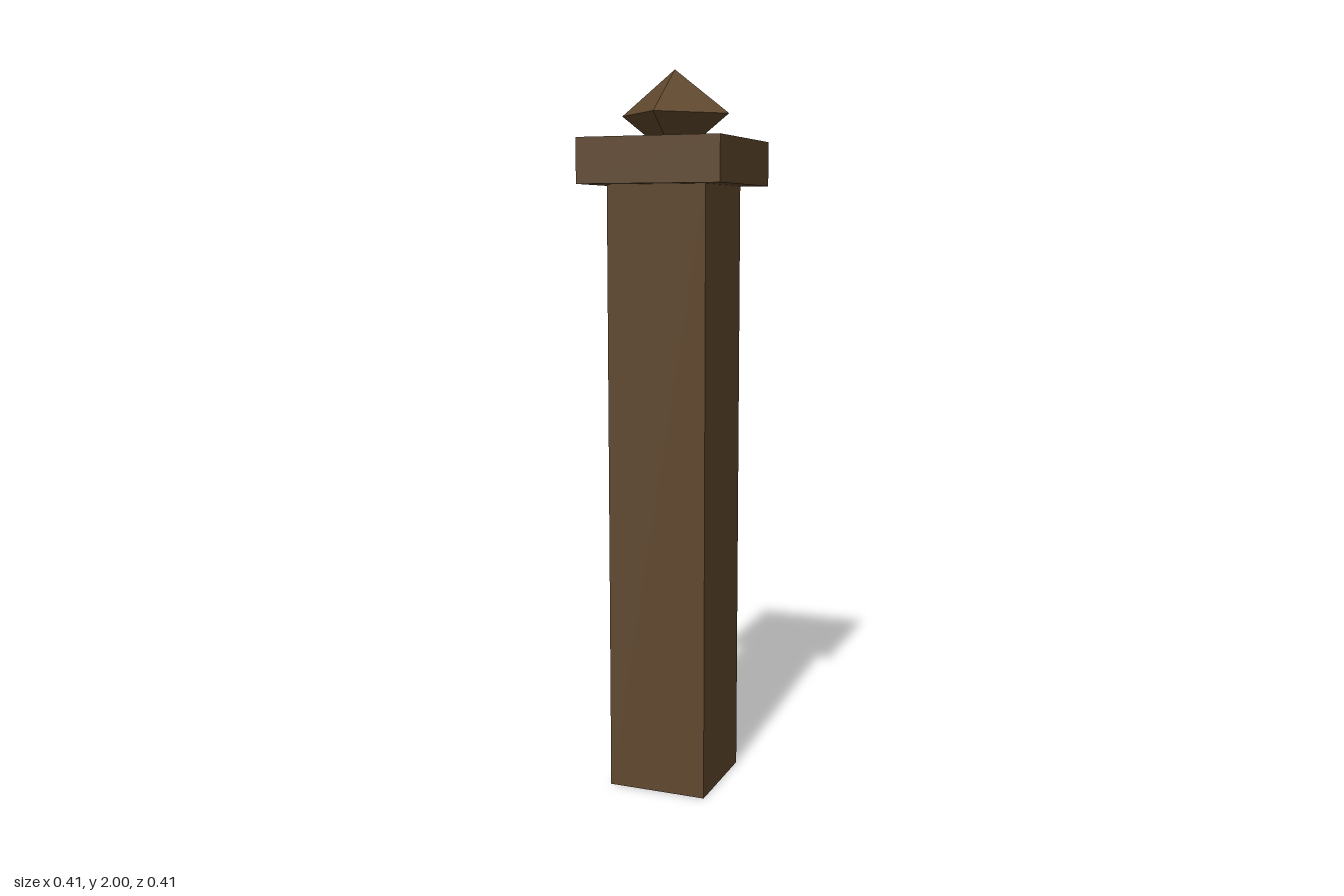
import * as THREE from 'three';

export function createModel() {
  const model = new THREE.Group();
  const wood = new THREE.MeshStandardMaterial({ color: 0x5f472d, flatShading: true });
  wood.name = 'brown wood';

  const add = (name, geometry, y) => {
    const mesh = new THREE.Mesh(geometry, wood);
    mesh.name = name;
    mesh.position.y = y;
    model.add(mesh);
  };

  // Square shaft and the wider cap slab on top of it
  add('shaft', new THREE.BoxGeometry(0.282, 1.694, 0.282), 0.847);
  add('cap', new THREE.BoxGeometry(0.406, 0.122, 0.406), 1.753);

  // Squashed diamond finial, its lower tip sunk into the cap
  add('finial', new THREE.OctahedronGeometry(1).scale(0.156, 0.12, 0.156), 1.88);

  return model;
}
